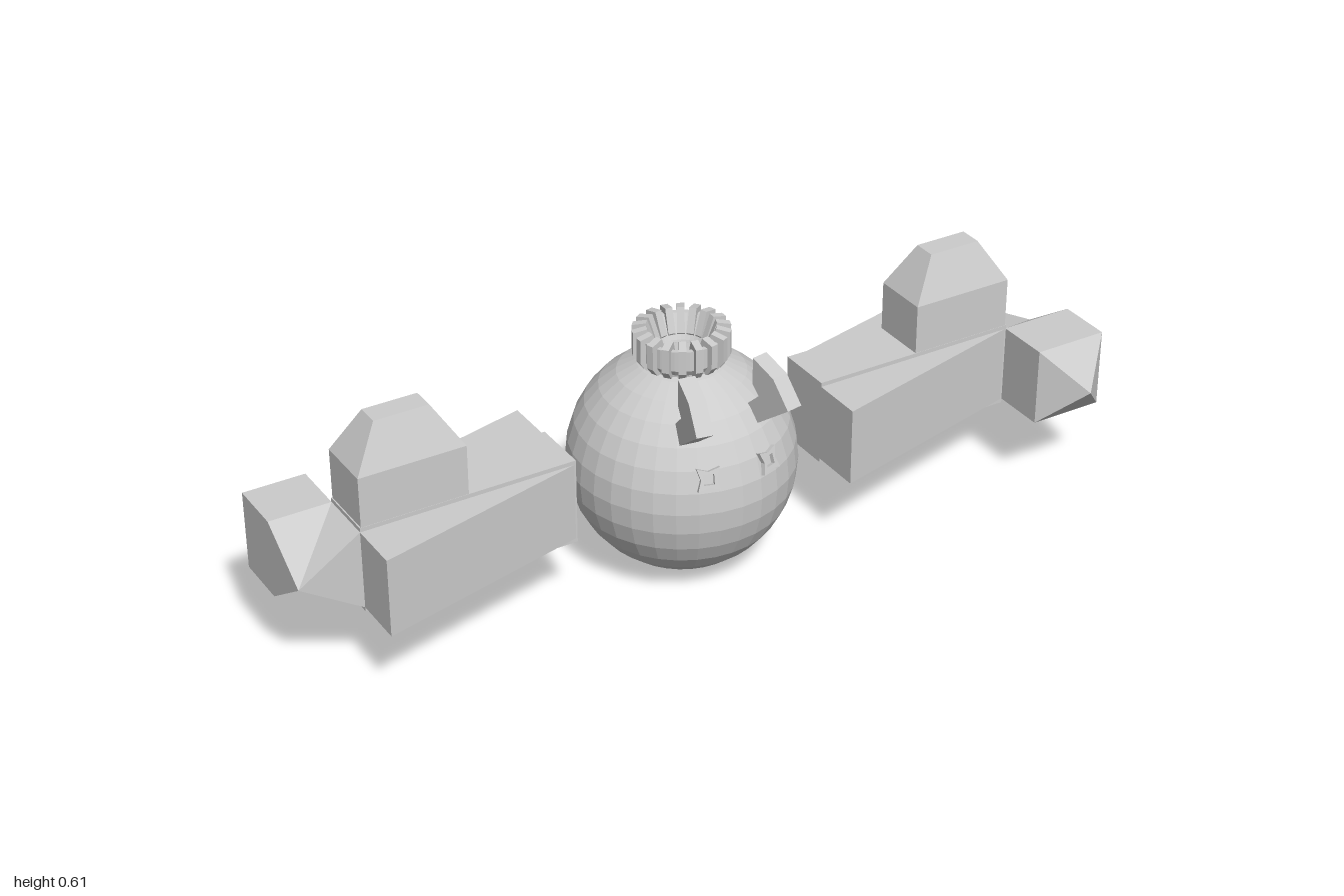
import * as THREE from 'three';

const mat = new THREE.MeshStandardMaterial({ color: 0xcccccc, flatShading: true, side: THREE.DoubleSide });

function add(parent, name, geometry, x = 0, y = 0, z = 0) {
  const mesh = new THREE.Mesh(geometry, mat);
  mesh.name = name;
  mesh.position.set(x, y, z);
  parent.add(mesh);
  return mesh;
}

// Box standing on y = 0 whose top is scaled by sx, sz
function taperedBox(w, h, d, sx, sz) {
  const g = new THREE.BoxGeometry(w, h, d).translate(0, h / 2, 0);
  const p = g.attributes.position;
  for (let i = 0; i < p.count; i++) {
    if (p.getY(i) > h / 2) p.setXYZ(i, p.getX(i) * sx, h, p.getZ(i) * sz);
  }
  g.computeVertexNormals();
  return g;
}

function polygon(points) {
  return new THREE.Shape(points.map(([x, y]) => new THREE.Vector2(x, y)));
}

// Mitred corner: two square openings whose outer corners run to one point
function elbowGeometry(x0, x1, y0, y1, zb, zf) {
  const v = [
    [x0, y1, zf], [x0, y1, zb], [x1, y1, zf], [x1, (y0 + y1) / 2, zb],
    [x0, y0, zf], [x0, y0, zb], [x1, y0, zf],
  ];
  const faces = [0, 3, 1, 0, 2, 3, 4, 5, 3, 4, 3, 6, 2, 6, 3, 1, 3, 5];
  const g = new THREE.BufferGeometry();
  g.setAttribute('position', new THREE.Float32BufferAttribute(faces.flatMap(i => v[i]), 3));
  g.computeVertexNormals();
  return g;
}

// Arm reaching along +x, with its pointed fist turned to +z
function makeArm(name, end) {
  const arm = new THREE.Group();
  arm.name = name;
  const x0 = 0.318, x1 = 0.835;
  add(arm, 'armBeam', new THREE.BoxGeometry(x1 - x0, 0.21, 0.14), (x0 + x1) / 2, 0.285, 0);

  // Slanted plates on both sides, one parallelogram in plan
  const plan = polygon([[x0, -0.197], [x1, -0.069], [x1, 0.195], [x0, 0.069]]);
  const plates = new THREE.ExtrudeGeometry(plan, { depth: 0.19, bevelEnabled: false });
  add(arm, 'armSidePlates', plates.rotateX(-Math.PI / 2), 0, 0.19, 0);

  // Shoulder tower
  add(arm, 'towerBase', new THREE.BoxGeometry(0.254, 0.13, 0.138), 0.705, 0.445, 0);
  add(arm, 'towerCap', taperedBox(0.254, 0.1, 0.138, 0.51, 0.4), 0.705, 0.51, 0);

  // Elbow, fist and point
  const w = end - x1, mid = (end + x1) / 2;
  add(arm, 'elbow', elbowGeometry(x1, end, 0.19, 0.38, -0.07, 0.068));
  add(arm, 'fist', new THREE.BoxGeometry(w, 0.19, 0.132), mid, 0.285, 0.134);
  add(arm, 'fistPoint', taperedBox(w, 0.085, 0.19, 0, 0).rotateX(Math.PI / 2), mid, 0.285, 0.2);
  return arm;
}

function makeCrown() {
  const crown = new THREE.Group();
  crown.name = 'crown';
  const profile = [[0.085, 0.49], [0.087, 0.515], [0.097, 0.53], [0.097, 0.578], [0.085, 0.578], [0.055, 0.525], [0.05, 0.51]];
  add(crown, 'crownBand', new THREE.LatheGeometry(profile.map(([r, y]) => new THREE.Vector2(r, y)), 36));
  const tooth = polygon([[0.078, 0.507], [0.095, 0.51], [0.11, 0.53], [0.11, 0.588], [0.078, 0.595], [0.058, 0.54]]);
  const n = 18;
  for (let i = 0; i < n; i++) {
    const g = new THREE.ExtrudeGeometry(tooth, { depth: 0.017, bevelEnabled: false });
    g.translate(0, 0, -0.0085);
    add(crown, 'crownTooth', g).rotation.y = (i / n) * Math.PI * 2;
  }
  return crown;
}

export function createModel() {
  const model = new THREE.Group();
  model.name = 'model';
  const cx = -0.017, cz = -0.014, cy = 0.263, R = 0.263;

  add(model, 'body', new THREE.SphereGeometry(R, 32, 16), cx, cy, cz);
  const crown = makeCrown();
  crown.position.set(cx, 0, cz);
  model.add(crown);

  // Bent horns: side outline with x as depth, y as height
  const hornSide = polygon([[0.17, 0.413], [0.273, 0.49], [0.225, 0.55], [0.16, 0.575], [0.16, 0.51], [0.18, 0.488], [0.145, 0.455]]);
  // Eye: concave-sided frame with a square hole
  const k = 0.026, c = 0.018, h = 0.012;
  const eyeShape = polygon([[-k, -k], [0, -c], [k, -k], [c, 0], [k, k], [0, c], [-k, k], [-c, 0]]);
  eyeShape.holes.push(new THREE.Path([[-h, -h], [-h, h], [h, h], [h, -h]].map(([x, y]) => new THREE.Vector2(x, y))));

  for (const s of [-1, 1]) {
    const side = s > 0 ? 'left' : 'right';
    const horn = new THREE.ExtrudeGeometry(hornSide, { depth: 0.04, bevelEnabled: false });
    horn.translate(-0.2, 0, -0.02).rotateY(-Math.PI / 2);
    add(model, side + 'Horn', horn, cx + s * 0.1, 0, 0.2).rotation.y = s * 0.18;

    const dir = new THREE.Vector3(s * 0.076, 0.083, 0.238).normalize();
    const eye = add(model, side + 'Eye', new THREE.ExtrudeGeometry(eyeShape, { depth: 0.014, bevelEnabled: false }));
    eye.position.set(cx, cy, cz).addScaledVector(dir, R - 0.006);
    eye.lookAt(eye.position.clone().add(dir));
  }

  // Arms: the second is turned half way round, so its fist points backward
  const leftArm = makeArm('leftArm', 1.017);
  const rightArm = makeArm('rightArm', 0.983);
  leftArm.position.x = rightArm.position.x = cx;
  rightArm.rotation.y = Math.PI;
  model.add(leftArm, rightArm);
  return model;
}
